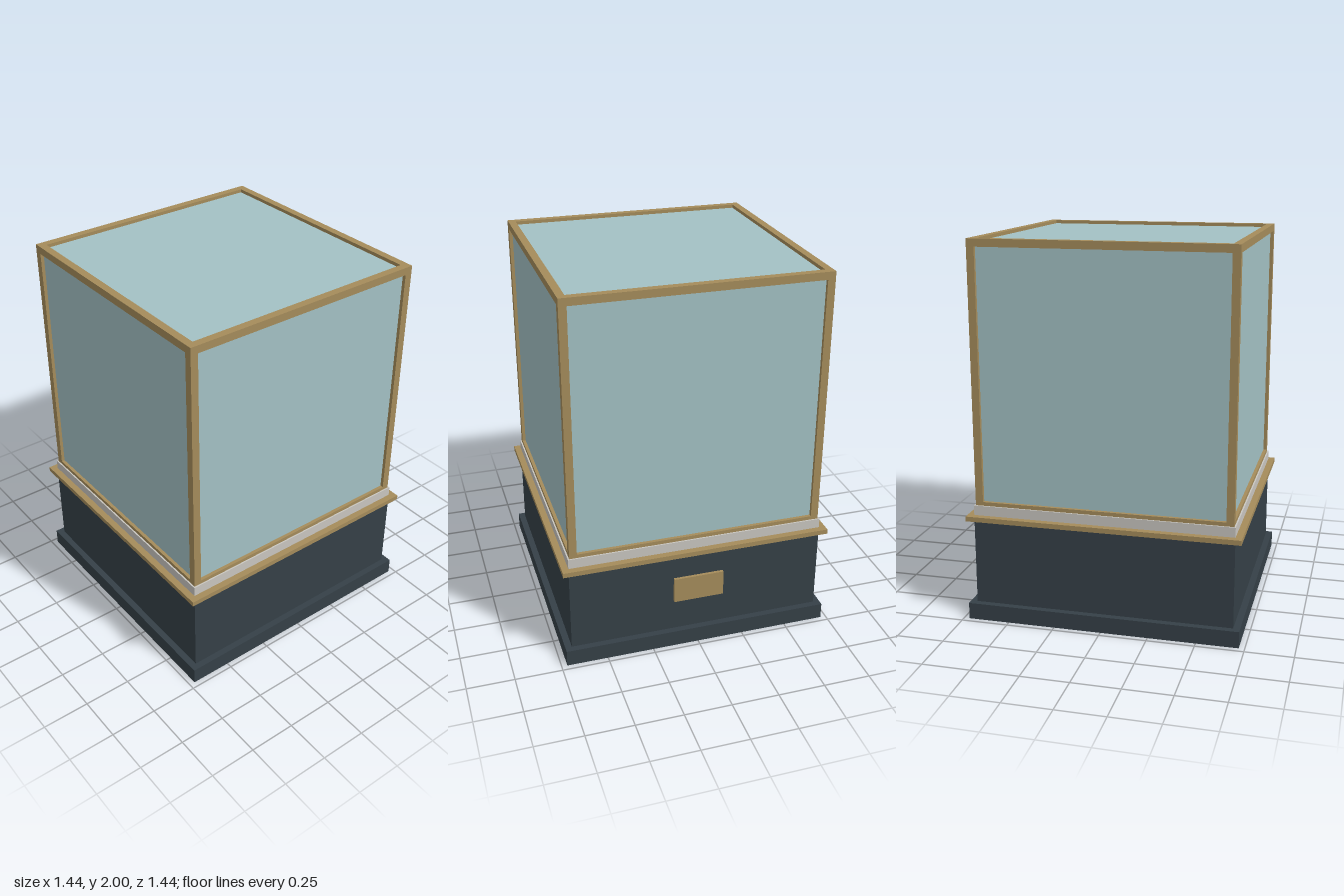
import * as THREE from 'three';

const mat = (name, color) => {
  const m = new THREE.MeshStandardMaterial({ color });
  m.name = name;
  return m;
};

export function createModel() {
  const brass = mat('brass', 0xa58c5b);
  const slate = mat('dark slate', 0x354047);
  const glass = mat('pale glass', 0xa3c1c4);
  const stone = mat('light stone', 0xc9c6c0);

  const model = new THREE.Group();
  model.name = 'displayCase';

  const box = (parent, name, material, [w, h, d], [x, y, z]) => {
    const mesh = new THREE.Mesh(new THREE.BoxGeometry(w, h, d), material);
    mesh.name = name;
    mesh.position.set(x, y, z);
    parent.add(mesh);
    return mesh;
  };
  // Square slab between two heights
  const slab = (name, material, width, y0, y1) =>
    box(model, name, material, [width, y1 - y0, width], [0, (y0 + y1) / 2, 0]);

  // Pedestal
  slab('plinth', slate, 1.44, 0, 0.088);
  slab('pedestalBody', slate, 1.37, 0.088, 0.547);
  slab('trim', brass, 1.44, 0.547, 0.573);
  slab('deck', stone, 1.37, 0.573, 0.625);

  // Plaque standing just off the back
  box(model, 'plaque', brass, [0.27, 0.14, 0.016], [0, 0.35, -0.712]);

  // Brass frame and glass, one side at a time
  const half = 0.677, bar = 0.04, bottom = 0.625, railTop = 0.645, top = 2;
  const inner = 2 * (half - bar);
  const centre = half - bar / 2;
  const paneDepth = 0.008, paneCentre = half - 0.022;
  const paneTop = top - bar;

  for (let i = 0; i < 4; i++) {
    const side = new THREE.Group();
    side.name = 'caseSide' + (i + 1);
    side.rotation.y = (i * Math.PI) / 2;
    model.add(side);
    box(side, 'cornerPost', brass, [bar, top - bottom, bar], [centre, (top + bottom) / 2, centre]);
    box(side, 'topRail', brass, [inner, bar, bar], [0, top - bar / 2, centre]);
    box(side, 'bottomRail', brass, [inner, railTop - bottom, bar], [0, (railTop + bottom) / 2, centre]);
    box(side, 'sidePane', glass, [inner, paneTop - railTop, paneDepth], [0, (paneTop + railTop) / 2, paneCentre]);
  }
  box(model, 'topPane', glass, [inner, paneDepth, inner], [0, top - 0.022, 0]);

  return model;
}
